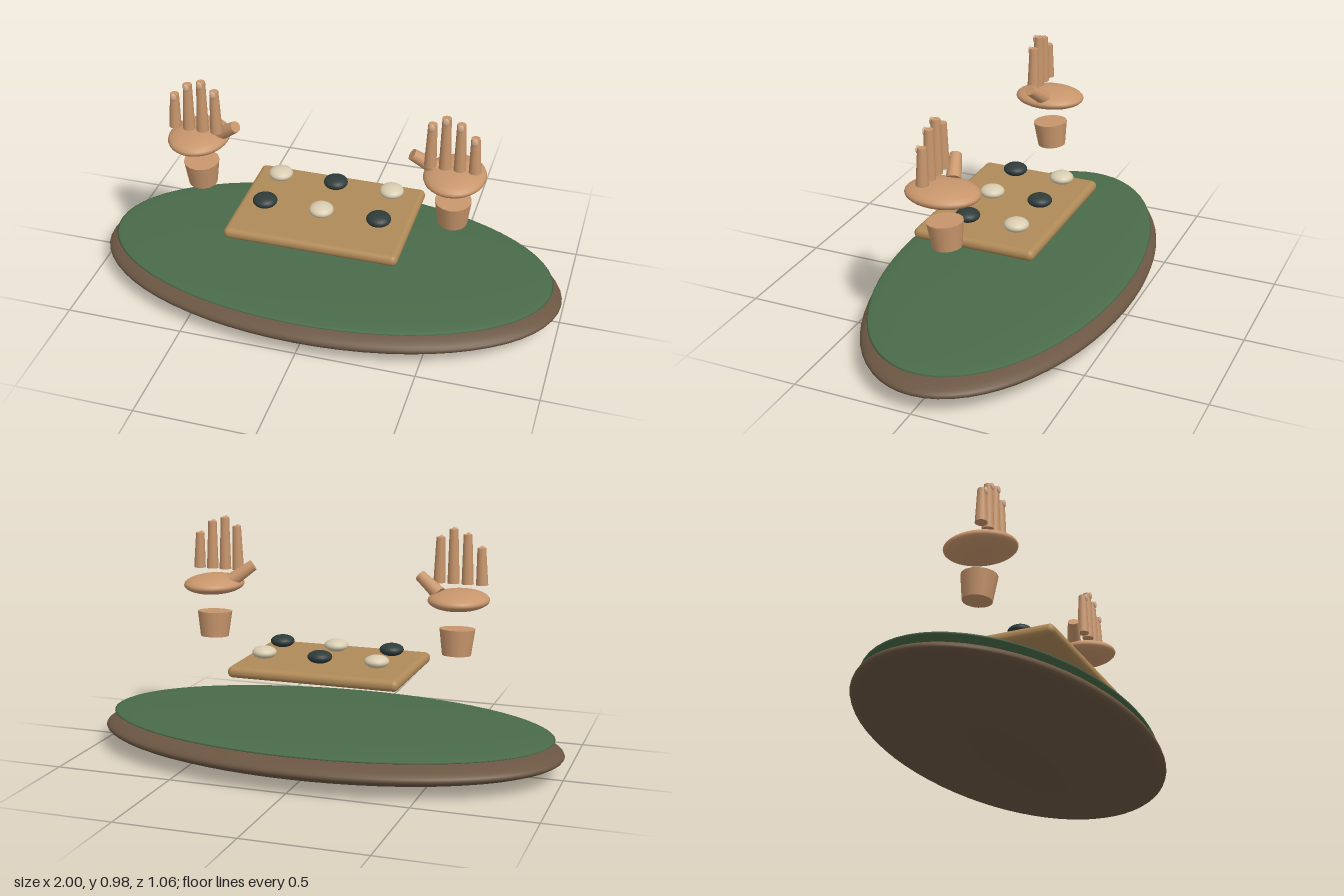
import * as THREE from 'three';
import { RoundedBoxGeometry } from 'three/addons/geometries/RoundedBoxGeometry.js';

const mat = (color) => new THREE.MeshStandardMaterial({ color });
const skin = mat(0xc8966c), nailMat = mat(0xd9b091), wood = mat(0xb08a58);
const felt = mat(0x4a6b4a), rimMat = mat(0x6b5642);
const cream = mat(0xd8ccb0), dark = mat(0x2f3b3a);

function add(parent, name, geometry, material, x, y, z) {
  const mesh = new THREE.Mesh(geometry, material);
  mesh.name = name;
  mesh.position.set(x, y, z);
  parent.add(mesh);
  return mesh;
}

// Sphere stretched to the given half sizes
function ellipsoid(rx, ry, rz, w = 32, h = 16) {
  return new THREE.SphereGeometry(1, w, h).scale(rx, ry, rz);
}

// Tapered cylinder running from point a to point b
function limb(parent, name, a, b, ra, rb) {
  const start = new THREE.Vector3(...a), end = new THREE.Vector3(...b);
  const dir = end.clone().sub(start);
  const mid = start.clone().add(end).multiplyScalar(0.5);
  const mesh = add(parent, name, new THREE.CylinderGeometry(rb, ra, dir.length(), 16), skin, mid.x, mid.y, mid.z);
  mesh.quaternion.setFromUnitVectors(new THREE.Vector3(0, 1, 0), dir.normalize());
  return mesh;
}

// One raised hand; s = 1 is the model's left, s = -1 its right
function createHand(s) {
  const hand = new THREE.Group();
  hand.name = s > 0 ? 'leftHand' : 'rightHand';
  limb(hand, 'wrist', [s * 0.535, 0.468, 0.064], [s * 0.535, 0.576, 0.072], 0.06, 0.074);
  add(hand, 'palm', ellipsoid(0.125, 0.04, 0.152), skin, s * 0.537, 0.695, 0.076);

  // Fingers from little to index: bottom x, top x, top y
  const fingers = [
    [0.622, 0.617, 0.905],
    [0.562, 0.559, 0.957],
    [0.503, 0.501, 0.976],
    [0.444, 0.447, 0.941],
  ];
  for (const [x0, x1, top] of fingers) {
    limb(hand, 'finger', [s * x0, 0.754, 0.118], [s * x1, top, 0.117], 0.025, 0.018);
    add(hand, 'fingernail', ellipsoid(0.013, 0.017, 0.006, 12, 8), nailMat, s * x1, top - 0.01, 0.135);
  }
  limb(hand, 'thumb', [s * 0.455, 0.715, 0.07], [s * 0.367, 0.78, 0.101], 0.031, 0.024);
  return hand;
}

export function createModel() {
  const model = new THREE.Group();
  model.name = 'gameTable';

  // Oval table: wooden body with a felt top
  add(model, 'tableBody', ellipsoid(1, 0.087, 0.528, 64, 32), rimMat, 0, 0.087, 0);
  add(model, 'feltTop', ellipsoid(0.96, 0.028, 0.502, 64, 24), felt, 0, 0.152, 0);

  // Floating board with rounded edges
  add(model, 'board', new RoundedBoxGeometry(0.73, 0.048, 0.526, 5, 0.023), wood, -0.002, 0.388, 0.042);

  // Two rows of alternating stones
  [-0.1, 0.115].forEach((z, row) => {
    [-0.245, -0.002, 0.241].forEach((x, col) => {
      const light = (row + col) % 2 === 0;
      add(model, light ? 'lightStone' : 'darkStone', ellipsoid(0.051, 0.026, 0.051, 24, 16),
        light ? cream : dark, x, 0.456, z);
    });
  });

  model.add(createHand(1), createHand(-1));
  return model;
}
